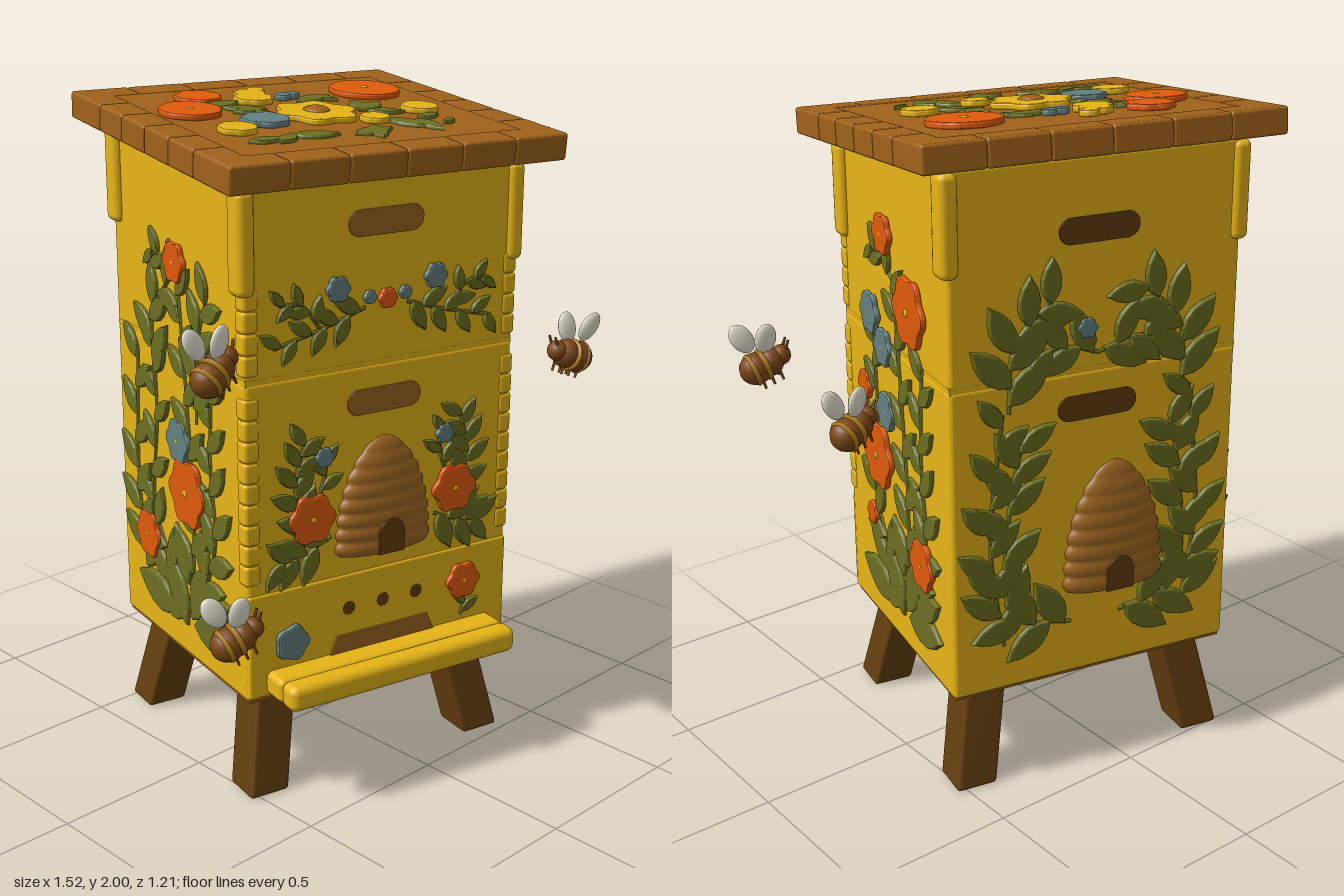
import * as THREE from 'three';
import { RoundedBoxGeometry } from 'three/addons/geometries/RoundedBoxGeometry.js';

const mat = (name, color) => Object.assign(new THREE.MeshStandardMaterial({ color }), { name });
const yellow = mat('yellow paint', 0xfbc41a), wood = mat('roof wood', 0xa0621a), dark = mat('dark leg wood', 0x633d0f);
const straw = mat('skep straw', 0x9c6420), orange = mat('orange petals', 0xe05a0a), blue = mat('blue petals', 0x647f80);
const green = mat('leaf green', 0x6c6f22), beeBrown = mat('bee brown', 0x7c4616), gold = mat('bee gold', 0xb07a1a);
const wingMat = mat('wing cream', 0xe8e3d2);

function add(parent, name, geo, material, x = 0, y = 0, z = 0) {
  const m = new THREE.Mesh(geo, material);
  m.name = name;
  m.position.set(x, y, z);
  parent.add(m);
  return m;
}
const rbox = (w, h, d, r = 0.015) => new RoundedBoxGeometry(w, h, d, 2, r);
const plate = (shape, depth = 0.006, bevel = 0.003) => new THREE.ExtrudeGeometry(shape,
  { depth, bevelEnabled: bevel > 0, bevelSize: bevel, bevelThickness: bevel, bevelSegments: 2, curveSegments: 8 });

// Unit leaf pointing along +x, and a wavy-edged flower
const leafShape = new THREE.Shape();
leafShape.moveTo(0, 0);
leafShape.quadraticCurveTo(0.4, 0.42, 1, 0);
leafShape.quadraticCurveTo(0.4, -0.42, 0, 0);
const leafGeo = new THREE.ExtrudeGeometry(leafShape,
  { depth: 0.05, bevelThickness: 0.1, bevelSize: 0.05, bevelSegments: 3, curveSegments: 5 });
function leaf(face, x, y, size, angle) {
  const m = add(face, 'leaf', leafGeo, green, x, y, 0);
  m.scale.set(size, size, 0.09);
  m.rotation.z = angle;
}
function flower(face, x, y, r, material, centre = yellow, petals = 6, wave = 0.08) {
  const pts = [];
  for (let i = 0; i < 60; i++) {
    const a = i / 60 * Math.PI * 2, k = (r - 0.005) * (1 - wave + wave * Math.cos(a * petals));
    pts.push(new THREE.Vector2(Math.cos(a) * k, Math.sin(a) * k));
  }
  add(face, 'flower', plate(new THREE.Shape(pts), 0.008, 0.006), material, x, y, 0.008);
  if (centre) add(face, 'flowerCentre', new THREE.SphereGeometry(r * 0.12, 10, 6), centre, x, y, 0.02).scale.z = 0.5;
}
// Curved stem with alternating leaves
function vine(face, pts, count, size) {
  const curve = new THREE.CatmullRomCurve3(pts.map(([x, y]) => new THREE.Vector3(x, y, 0.002)));
  add(face, 'stem', new THREE.TubeGeometry(curve, 16, 0.006, 5), green);
  for (let i = 0; i < count; i++) {
    const t = (i + 0.6) / count, p = curve.getPoint(t), d = curve.getTangent(t);
    leaf(face, p.x, p.y, size * (1.1 - 0.3 * t), Math.atan2(d.y, d.x) + (i % 2 ? 0.8 : -0.8));
  }
}
// Rounded hand slot
function slot(face, y, material) {
  const s = new THREE.Shape();
  s.absarc(0.088, 0, 0.036, -Math.PI / 2, Math.PI / 2);
  s.absarc(-0.088, 0, 0.036, Math.PI / 2, Math.PI * 1.5);
  add(face, 'handSlot', plate(s, 0.003, 0.002), material, 0, y, 0);
}
// Half-round ribbed straw hive with an arched door
function skep(face, x, y0, h) {
  const pts = [];
  for (let i = 0; i <= 56; i++) {
    const t = i / 56;
    pts.push(new THREE.Vector2(0.165 * Math.pow(1 - Math.pow(t, 2.4), 0.6) * (0.94 + 0.07 * Math.abs(Math.sin(t * Math.PI * 8))), t * h));
  }
  add(face, 'skep', new THREE.LatheGeometry(pts, 24, -Math.PI / 2, Math.PI), straw, x, y0, 0).scale.z = 0.32;
  const d = new THREE.Shape();
  d.moveTo(-0.042, 0);
  d.lineTo(0.042, 0);
  d.lineTo(0.042, 0.06);
  d.absarc(0, 0.06, 0.042, 0, Math.PI);
  add(face, 'skepDoor', plate(d, 0.052, 0.003), dark, x, y0, 0);
}
function faceGroup(hive, name, x, z, turn) {
  const g = new THREE.Group();
  g.name = name;
  g.position.set(x, 0, z);
  g.rotation.y = turn;
  hive.add(g);
  return g;
}
// Compact bee heading along +x with two upright wings fanned fore and aft
function bee(root, x, y, z, yaw, pitch) {
  const g = new THREE.Group();
  g.name = 'bee';
  g.position.set(x, y, z);
  g.rotation.y = yaw;
  const body = new THREE.Group();
  body.name = 'beeBody';
  body.rotation.z = pitch;
  g.add(body);
  const ball = new THREE.SphereGeometry(1, 14, 10);
  add(body, 'abdomen', ball, beeBrown, -0.03, 0, 0).scale.set(0.052, 0.05, 0.05);
  add(body, 'thorax', ball, beeBrown, 0.018, 0, 0).scale.set(0.042, 0.046, 0.046);
  add(body, 'head', ball, beeBrown, 0.056, 0.002, 0).scale.setScalar(0.032);
  for (const k of [-0.04, -0.002]) {
    add(body, 'stripe', new THREE.TorusGeometry(0.044, 0.009, 6, 16), gold, k, 0, 0).rotation.y = Math.PI / 2;
  }
  for (const s of [-1, 1]) {
    const w = add(g, 'wing', ball, wingMat, -0.03 + s * 0.032, 0.085, s * 0.016);
    w.scale.set(0.034, 0.05, 0.014);
    w.rotation.set(s * 0.15, 0, 0.25 - s * 0.35);
    const a = add(body, 'antenna', new THREE.CylinderGeometry(0.004, 0.006, 0.04, 5), beeBrown, 0.08, 0.025, s * 0.014);
    a.rotation.z = -0.7;
    for (const k of [-0.03, 0, 0.03]) add(body, 'foot', new THREE.CylinderGeometry(0.005, 0.004, 0.03, 5), beeBrown, k, -0.05, s * 0.022);
  }
  root.add(g);
}

export function createModel() {
  const root = new THREE.Group();
  root.name = 'beehive';
  const hive = new THREE.Group();
  hive.name = 'hive';
  hive.position.z = -0.02;
  hive.rotation.y = -0.218;
  root.add(hive);

  // Stacked boxes; the upper one follows the roof slope
  add(hive, 'lowerBox', rbox(0.918, 0.968, 0.81), yellow, 0, 0.806, 0);
  const upper = rbox(0.918, 0.58, 0.81);
  const p = upper.attributes.position;
  for (let i = 0; i < p.count; i++) if (p.getY(i) > 0.2) p.setY(i, p.getY(i) - p.getZ(i) * 0.09);
  add(hive, 'upperBox', upper, yellow, 0, 1.582, 0);
  add(hive, 'seam', new THREE.BoxGeometry(0.912, 0.02, 0.804), yellow, 0, 1.291, 0);
  add(hive, 'floor', new THREE.BoxGeometry(0.9, 0.008, 0.79), wood, 0, 0.319, 0);
  add(hive, 'frontBoard', rbox(0.915, 0.325, 0.02, 0.008), yellow, 0, 0.495, 0.401);
  add(hive, 'landingBoardBack', rbox(0.8, 0.075, 0.1, 0.02), yellow, 0, 0.375, 0.44);
  add(hive, 'landingBoardLip', rbox(0.8, 0.08, 0.075, 0.025), yellow, 0, 0.375, 0.52);

  for (const sx of [-1, 1]) {
    for (const sz of [-1, 1]) {
      // Corner posts under the roof
      add(hive, 'cornerPost', rbox(0.055, 0.29, 0.075, 0.02), yellow, sx * 0.452, sz > 0 ? 1.68 : 1.755, sz * 0.382);
      // Splayed legs
      const leg = rbox(0.13, 0.34, 0.13, 0.012), q = leg.attributes.position;
      for (let i = 0; i < q.count; i++) {
        const k = (q.getY(i) + 0.17) / 0.34 * 0.065;
        q.setX(i, q.getX(i) - sx * k);
        q.setZ(i, q.getZ(i) - sz * k);
      }
      leg.computeVertexNormals();
      add(hive, 'leg', leg, dark, sx * 0.39, 0.17, sz * 0.342);
    }
    // Finger joints on the front corners
    for (let y = 0.72; y < 1.53; y += 0.062) {
      if (Math.abs(y - 1.29) > 0.03) add(hive, 'fingerJoint', rbox(0.05, 0.064, 0.05, 0.012), yellow, sx * 0.439, y, 0.384);
    }
  }

  // Sloping roof with a rim of short planks
  const roof = new THREE.Group();
  roof.name = 'roof';
  roof.position.set(0, 1.915, 0.015);
  roof.rotation.x = 0.087;
  hive.add(roof);
  add(roof, 'roofSlab', rbox(1.098, 0.074, 0.982, 0.015), wood);
  for (const s of [-1, 1]) {
    for (let i = 0; i < 6; i++) add(roof, 'rimPlank', rbox(0.185, 0.08, 0.1, 0.009), wood, -0.46 + i * 0.184, 0, s * 0.445);
    for (let i = 0; i < 6; i++) add(roof, 'rimPlank', rbox(0.1, 0.08, 0.148, 0.009), wood, s * 0.502, 0, -0.365 + i * 0.146);
  }
  const top = new THREE.Group();
  top.name = 'roofFlowers';
  top.position.y = 0.034;
  top.rotation.x = -Math.PI / 2;
  roof.add(top);
  // Turns plan positions into the roof's own frame
  const plan = (x, z) => [x * 0.976 + z * 0.216, x * 0.216 - z * 0.976];
  for (const [x, z, size, a] of [[-0.25, -0.21, 0.13, 0.2], [-0.2, -0.17, 0.1, -0.5], [-0.21, -0.11, 0.1, 0], [-0.16, -0.08, 0.07, -1],
    [0.06, -0.13, 0.12, 0.2], [0.13, -0.16, 0.09, -0.9], [0.18, -0.03, 0.11, -1.5], [0.13, 0.06, 0.12, 0.5], [0.14, 0.09, 0.1, -0.4],
    [-0.42, 0.19, 0.1, 0], [-0.35, 0.24, 0.1, 0.7], [-0.27, 0.2, 0.13, -0.2], [-0.1, 0.28, 0.13, 0.2], [0, 0.24, 0.12, -1.9],
    [0.11, 0.2, 0.13, -1.1], [0.17, 0.25, 0.12, -1.5], [0.2, 0.23, 0.08, 0.2], [0.22, 0.32, 0.06, 0.6]]) {
    leaf(top, ...plan(x, z), size, a);
  }
  for (const [x, z, r, m, wave, c] of [[-0.325, -0.175, 0.092, orange, 0.01, yellow], [-0.19, -0.3, 0.072, orange, 0.05], [0.33, -0.12, 0.11, orange, 0.01, yellow],
    [-0.06, -0.2, 0.06, yellow, 0.05], [-0.03, -0.25, 0.05, yellow, 0.05], [0.02, -0.28, 0.028, yellow, 0.02], [-0.22, 0.03, 0.072, blue, 0.05],
    [-0.36, 0.07, 0.057, yellow, 0.03], [0.29, 0.15, 0.057, yellow, 0.03], [0.07, 0.18, 0.044, yellow, 0.03], [0.04, -0.18, 0.025, blue, 0.05], [0.08, -0.18, 0.022, blue, 0.05]]) {
    flower(top, ...plan(x, z), r, m, c || null, 7, wave);
  }
  flower(top, ...plan(-0.03, 0.04), 0.128, yellow, null, 6, 0.1);
  add(top, 'flowerCentre', new THREE.SphereGeometry(0.042, 14, 8), wood, ...plan(-0.03, 0.04), 0.018).scale.z = 0.4;

  // Front: slots, skep, entrance, vents and flowers
  const front = faceGroup(hive, 'frontFace', 0, 0.405, 0);
  slot(front, 1.7, straw);
  slot(front, 1.18, straw);
  skep(front, 0, 0.72, 0.35);
  const gate = new THREE.Shape([[-0.19, 0.4], [0.19, 0.4], [0.16, 0.465], [-0.16, 0.465]].map(a => new THREE.Vector2(...a)));
  add(front, 'entrance', plate(gate, 0.006, 0.002), straw, 0, 0, 0.005);
  for (const x of [-0.12, 0, 0.12]) add(front, 'ventHole', new THREE.CircleGeometry(0.022, 16), dark, x, 0.55, 0.008);
  for (const s of [-1, 1]) {
    vine(front, [[s * 0.07, 1.46], [s * 0.2, 1.42], [s * 0.37, 1.38]], 7, 0.085);
    vine(front, [[s * 0.22, 1.42], [s * 0.28, 1.49], [s * 0.35, 1.5]], 5, 0.07);
    vine(front, [[s * 0.24, 0.78], [s * 0.3, 0.95], [s * 0.27, 1.1]], 10, 0.095);
    vine(front, [[s * 0.22, 0.92], [s * 0.2, 1.0], [s * 0.21, 1.06]], 4, 0.07);
    vine(front, [[s * 0.18, 0.79], [s * 0.28, 0.75], [s * 0.35, 0.74]], 6, 0.11);
    flower(front, s * 0.25, 0.86, 0.078, orange);
    flower(front, s * 0.165, 1.525, 0.038, blue);
    flower(front, s * 0.06, 1.49, 0.02, blue);
    flower(front, s * 0.21, 1.04, 0.03, blue);
  }
  flower(front, 0, 1.48, 0.03, orange);
  const panel = faceGroup(hive, 'lowerFrontFlowers', 0, 0.409, 0);
  vine(panel, [[0.29, 0.43], [0.3, 0.48], [0.3, 0.54]], 4, 0.06);
  flower(panel, 0.29, 0.55, 0.06, orange);
  flower(panel, -0.32, 0.49, 0.057, blue, null, 5);

  // Sides: climbing vines with flowers, given as [x, y, radius, colour]
  const sides = [
    ['leftFlowers', 0.459, Math.PI / 2, [[-0.03, 1.63, 0.062, orange], [0.16, 1.45, 0.108, orange], [-0.15, 1.36, 0.066, blue],
      [-0.05, 1.28, 0.06, blue], [-0.21, 1.11, 0.047, orange], [-0.04, 1.08, 0.062, blue], [-0.12, 0.91, 0.11, orange],
      [0.21, 0.68, 0.082, orange], [-0.18, 0.69, 0.037, orange]]],
    ['rightFlowers', -0.459, -Math.PI / 2, [[0.02, 1.56, 0.062, orange], [0.02, 1.02, 0.07, blue], [0.07, 0.87, 0.11, orange],
      [-0.2, 0.65, 0.078, orange]]]];
  for (const [name, x, turn, blooms] of sides) {
    const g = faceGroup(hive, name, x, 0, turn);
    vine(g, [[0.07, 0.52], [0.09, 0.8], [0.06, 1.15], [0.02, 1.5]], 13, 0.13);
    vine(g, [[-0.02, 0.55], [-0.17, 0.75], [-0.14, 1.05], [-0.15, 1.3]], 10, 0.12);
    vine(g, [[0.12, 0.55], [0.22, 0.75], [0.2, 1.0], [0.22, 1.3]], 12, 0.13);
    vine(g, [[0.02, 1.5], [-0.08, 1.56], [-0.14, 1.57]], 4, 0.09);
    // Broad leaves spreading at the foot
    for (const [a, b, size, turnLeaf] of [[-0.05, 0.45, 0.23, 2.95], [-0.08, 0.54, 0.16, 2.5], [0.03, 0.44, 0.22, 2.1], [0.1, 0.45, 0.22, 0.1],
      [0.15, 0.5, 0.18, 0.5], [0.08, 0.47, 0.18, 1.1], [0.05, 0.58, 0.17, 2], [0, 0.44, 0.13, 2.9]]) leaf(g, a, b, size, turnLeaf);
    // Fuller growth on the side with fewer flowers
    if (x < 0) {
      vine(g, [[-0.22, 0.5], [-0.28, 0.8], [-0.26, 1.25]], 10, 0.14);
      vine(g, [[-0.14, 1.2], [-0.15, 1.38], [-0.03, 1.5]], 6, 0.13);
      vine(g, [[0.12, 1.1], [0.14, 1.35], [0.2, 1.5]], 6, 0.13);
    }
    for (const [fx, y, r, m] of blooms) flower(g, fx, y, r, m);
  }

  // Back: leafy wreath around a skep
  const back = faceGroup(hive, 'backFace', 0, -0.405, Math.PI);
  slot(back, 1.7, dark);
  slot(back, 1.18, dark);
  skep(back, 0.06, 0.6, 0.4);
  for (const s of [-1, 1]) {
    vine(back, [[s * 0.08, 0.5], [s * 0.27, 0.56], [s * 0.28, 0.9], [s * 0.24, 1.1]], 13, 0.15);
    vine(back, [[s * 0.3, 0.47], [s * 0.34, 0.8], [s * 0.3, 1.2]], 10, 0.13);
    vine(back, [[s * 0.28, 1.2], [s * 0.26, 1.4], [s * 0.14, 1.52]], 8, 0.15);
    vine(back, [[0, 1.34], [s * 0.1, 1.37], [s * 0.22, 1.36]], 5, 0.13);
  }
  flower(back, -0.04, 1.42, 0.03, blue);

  // Bees hovering around the hive
  bee(root, -0.66, 1.36, 0.3, 0.1, 0.55);
  bee(root, -0.625, 0.58, 0.33, -0.3, 0.4);
  bee(root, 0.66, 1.18, 0.465, Math.PI - 0.2, 0.35);
  bee(root, 0.625, 1.1, 0.03, Math.PI + 0.2, 0.35);
  return root;
}
